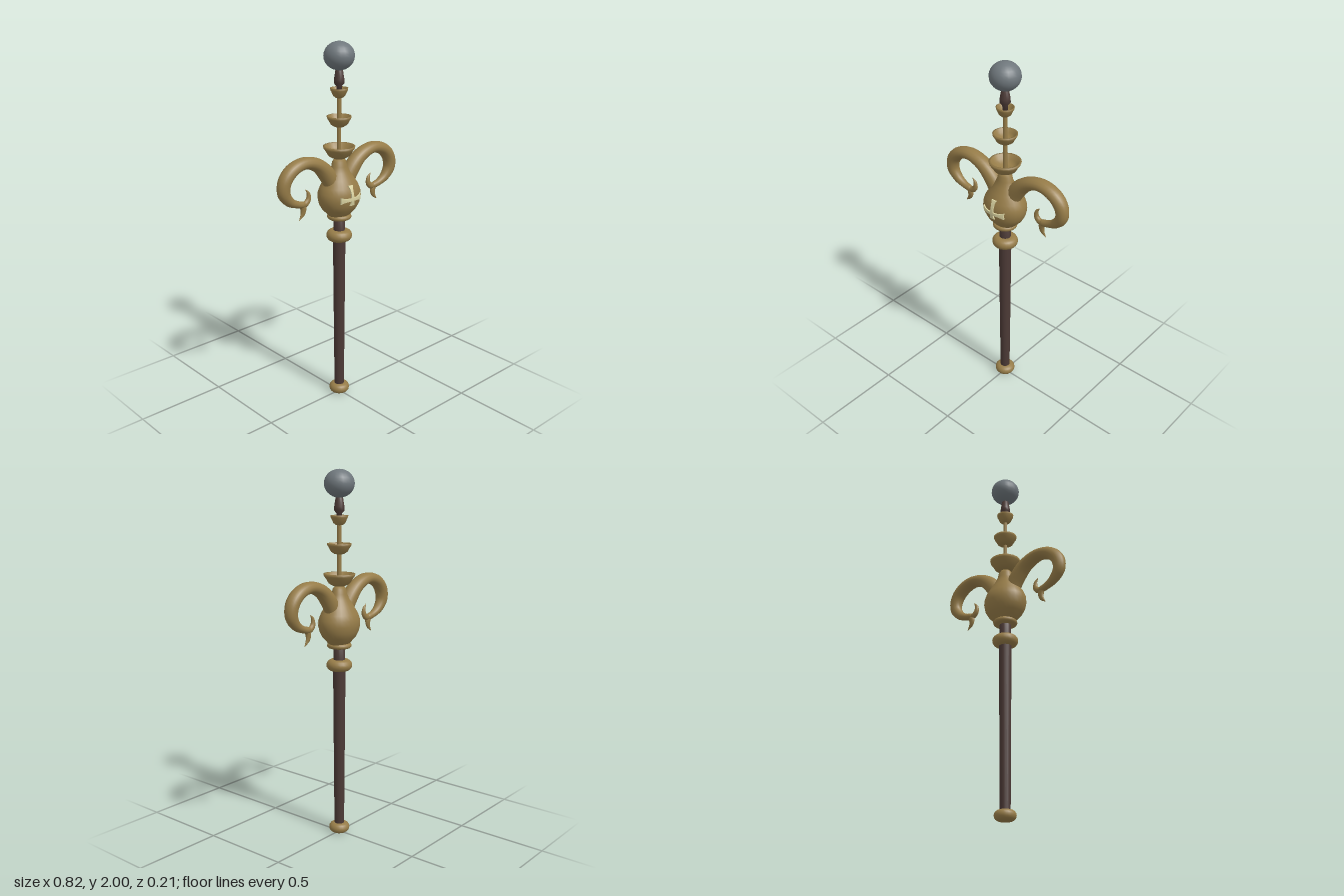
import * as THREE from 'three';

const mat = (name, color) => new THREE.MeshStandardMaterial({ name, color });

export function createModel() {
  const gold = mat('aged gold', 0x967c48);
  const wood = mat('dark wood', 0x4c3a36);
  const stone = mat('grey stone', 0x6f777c);
  const pale = mat('pale gold', 0xd9d2a0);
  const root = new THREE.Group();
  root.name = 'sceptre';

  const add = (name, geo, material) => {
    const m = new THREE.Mesh(geo, material);
    m.name = name;
    root.add(m);
    return m;
  };
  const lathe = (name, pts, material, sides = 20) =>
    add(name, new THREE.LatheGeometry(pts.map(p => new THREE.Vector2(p[0], p[1])), sides), material);

  // Rounded disc ring, given its bottom, top and outer radius
  const ring = (name, y0, y1, r) => {
    const h = (y1 - y0) / 2, pts = [[0, y0]];
    for (let i = 0; i <= 8; i++) {
      const a = -Math.PI / 2 + (Math.PI * i) / 8;
      pts.push([r - h + h * Math.cos(a), (y0 + y1) / 2 + h * Math.sin(a)]);
    }
    pts.push([0, y1]);
    lathe(name, pts, gold, 24);
  };

  // Shaft with its rings
  lathe('shaft', [[0, 0.02], [0.027, 0.02], [0.034, 0.97], [0.031, 0.98], [0.031, 1.08], [0, 1.08]], wood, 16);
  ring('footRing', 0, 0.055, 0.057);
  ring('gripRing', 0.937, 0.998, 0.07);
  ring('collar', 1.062, 1.09, 0.066);

  // Vase-shaped body, wider across than deep
  const bodyProfile = [[0.055, 1.08], [0.068, 1.092], [0.1, 1.125], [0.117, 1.155], [0.125, 1.19], [0.122, 1.22],
    [0.11, 1.25], [0.084, 1.29], [0.06, 1.325], [0.045, 1.355], [0.04, 1.38], [0.028, 1.396]];
  const DEPTH = 0.83;
  lathe('body', [[0, 1.08], ...bodyProfile, [0, 1.4]], gold, 28).scale.z = DEPTH;

  // Thin rod carrying three open cups
  const rod = new THREE.CylinderGeometry(0.011, 0.011, 0.4, 10);
  rod.translate(0, 1.58, 0);
  add('rod', rod, gold);
  for (const [name, y0, y1, r] of [['lowerCup', 1.395, 1.462, 0.085], ['middleCup', 1.563, 1.62, 0.065], ['upperCup', 1.713, 1.765, 0.047]]) {
    const h = y1 - y0;
    lathe(name, [[0, y0], [r * 0.4, y0 + h * 0.04], [r * 0.68, y0 + h * 0.25], [r * 0.85, y0 + h * 0.62], [r * 0.96, y0 + h * 0.8],
      [r, y1], [r * 0.86, y1], [r * 0.74, y0 + h * 0.65], [r * 0.5, y0 + h * 0.38], [0, y0 + h * 0.3]], gold, 20);
  }

  // Wooden socket and stone orb
  lathe('orbSocket', [[0, 1.75], [0.014, 1.75], [0.015, 1.775], [0.028, 1.79], [0.027, 1.81], [0.018, 1.865], [0, 1.87]], wood, 12);
  const orb = add('orb', new THREE.SphereGeometry(0.08, 20, 14), stone);
  orb.position.y = 1.927;
  orb.scale.y = 0.91;

  // Tapered sweep along points [x, y, radius, half depth], lying in the z = 0 plane
  const sweep = (name, pts, side, steps) => {
    const curve = new THREE.CatmullRomCurve3(pts.map(p => new THREE.Vector3(p[0] * side, p[1], 0)));
    const size = new THREE.CatmullRomCurve3(pts.map(p => new THREE.Vector3(p[2], p[3], 0)));
    const pos = [], idx = [], n = 14;
    for (let i = 0; i <= steps; i++) {
      const c = curve.getPoint(i / steps), t = curve.getTangent(i / steps), s = size.getPoint(i / steps);
      for (let j = 0; j < n; j++) {
        const a = (j / n) * Math.PI * 2, k = s.x * Math.cos(a);
        pos.push(c.x - t.y * k, c.y + t.x * k, s.y * Math.sin(a));
        if (i < steps) {
          const p = i * n + j, q = i * n + ((j + 1) % n);
          idx.push(p, q, p + n, q, q + n, p + n);
        }
      }
    }
    const g = new THREE.BufferGeometry();
    g.setAttribute('position', new THREE.Float32BufferAttribute(pos, 3));
    g.setIndex(idx);
    g.computeVertexNormals();
    add(name, g, gold);
  };

  // Curling horns, each ending in a hook and a barb
  for (const [label, side] of [['left', 1], ['right', -1]]) {
    sweep(label + 'Horn', [[0.03, 1.22, 0.045, 0.04], [0.08, 1.315, 0.046, 0.042], [0.15, 1.385, 0.037, 0.042],
      [0.24, 1.413, 0.031, 0.041], [0.32, 1.39, 0.034, 0.04], [0.366, 1.34, 0.036, 0.037], [0.373, 1.28, 0.034, 0.033],
      [0.338, 1.23, 0.026, 0.026], [0.29, 1.205, 0.019, 0.02], [0.25, 1.195, 0.018, 0.017], [0.235, 1.193, 0.002, 0.002]], side, 48);
    sweep(label + 'HornHook', [[0.27, 1.2, 0.014, 0.014], [0.235, 1.196, 0.017, 0.014], [0.214, 1.216, 0.015, 0.012],
      [0.214, 1.248, 0.01, 0.008], [0.232, 1.272, 0.001, 0.001]], side, 16);
    sweep(label + 'HornBarb', [[0.27, 1.205, 0.014, 0.014], [0.25, 1.18, 0.018, 0.013], [0.252, 1.147, 0.014, 0.009],
      [0.278, 1.114, 0.001, 0.001]], side, 14);
  }

  // Depth of the body's front surface at a given point
  const frontZ = (x, y) => {
    let i = 1;
    while (i < bodyProfile.length - 1 && bodyProfile[i][1] < y) i++;
    const [r0, y0] = bodyProfile[i - 1], [r1, y1] = bodyProfile[i];
    const r = r0 + ((r1 - r0) * (y - y0)) / (y1 - y0);
    return DEPTH * Math.sqrt(Math.max(r * r - x * x, 0));
  };

  // Cross ornament: thin flared bars bent onto the body
  const bar = (name, w, h, y) => {
    const g = new THREE.BoxGeometry(w, h, 0.008, w > h ? 16 : 2, w > h ? 2 : 12, 1);
    const p = g.attributes.position;
    for (let i = 0; i < p.count; i++) {
      let px = p.getX(i), py = p.getY(i);
      if (w > h) py *= 1 + 1.4 * Math.pow(Math.abs(px) / (w / 2), 4);
      else px *= 1 + 0.9 * Math.pow(Math.abs(py) / (h / 2), 4);
      p.setXYZ(i, px, py + y, frontZ(px, py + y) + 0.003 + p.getZ(i));
    }
    g.computeVertexNormals();
    add(name, g, pale);
  };
  bar('crossUpright', 0.016, 0.105, 1.213);
  bar('crossArms', 0.136, 0.016, 1.194);

  return root;
}
